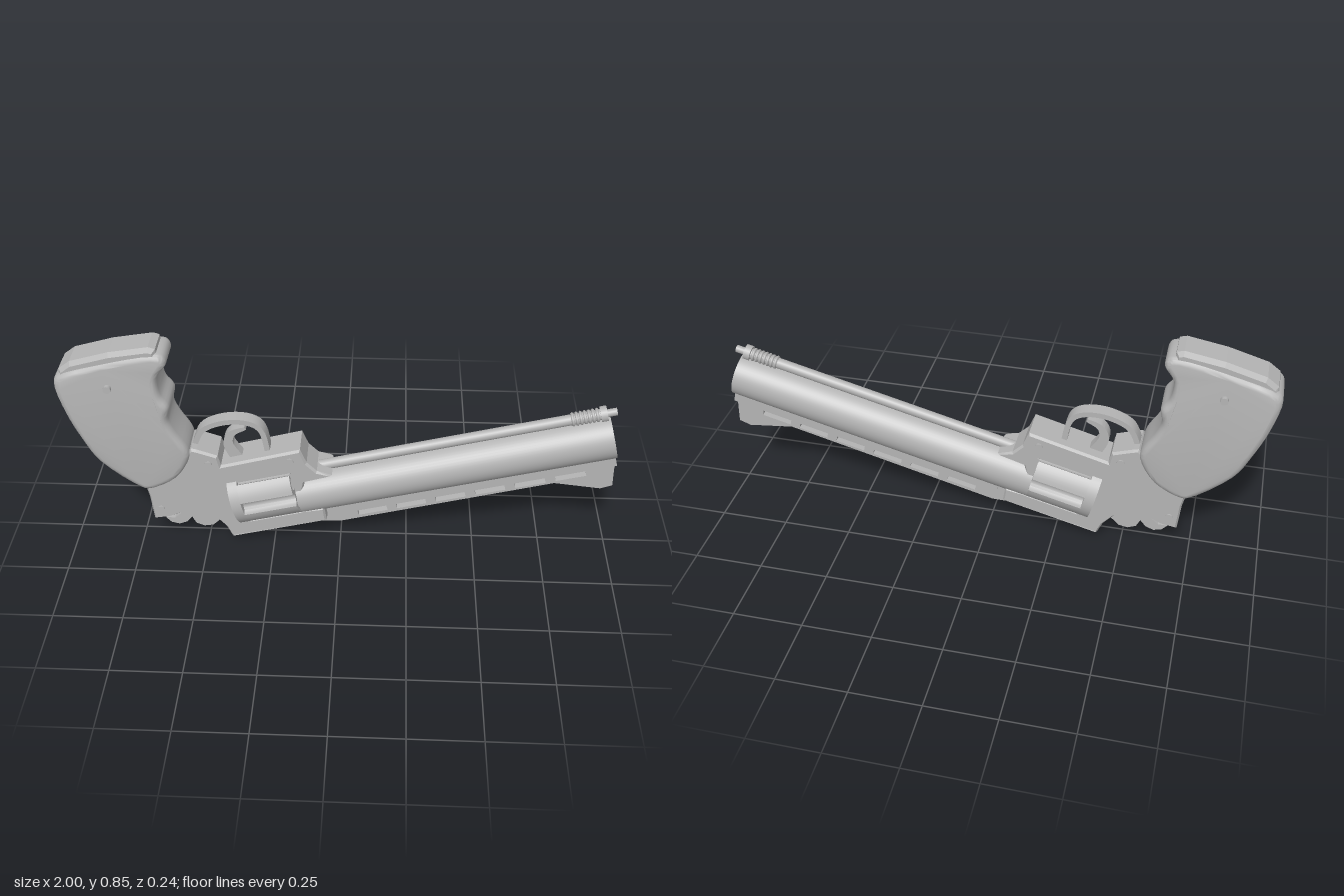
import * as THREE from 'three';
import { toCreasedNormals } from 'three/addons/utils/BufferGeometryUtils.js';

const V = (a) => a.map(([x, y]) => new THREE.Vector2(x, y));

export function createModel() {
  const steel = new THREE.MeshStandardMaterial({ color: 0xb4b4b4 });
  steel.name = 'grey steel';
  const model = new THREE.Group();
  model.name = 'revolver';

  // Everything on the bore axis lives in this group: origin at the muzzle, barrel along -x
  const bore = new THREE.Group();
  bore.name = 'barrelAssembly';
  bore.position.set(0.975, 0.495, 0);
  bore.rotation.z = 0.253;
  model.add(bore);

  const add = (parent, name, geo) => {
    const mesh = new THREE.Mesh(geo, steel);
    mesh.name = name;
    parent.add(mesh);
    return mesh;
  };
  // Plate centred on z = 0, outline kept at its widest, edges optionally chamfered
  const plate = (shape, half, bevel = 0, size = bevel, segments = 1) => {
    const geo = new THREE.ExtrudeGeometry(shape, {
      depth: 2 * (half - bevel), bevelEnabled: bevel > 0, bevelThickness: bevel,
      bevelSize: size, bevelOffset: -size, bevelSegments: segments, curveSegments: 12,
    });
    return geo.translate(0, 0, -(half - bevel));
  };
  // Cross-section (x becomes -z) swept along x from u0 to u1
  const sweep = (shape, u0, u1) => new THREE.ExtrudeGeometry(shape, { depth: u1 - u0, bevelEnabled: false, curveSegments: 24 })
    .rotateY(Math.PI / 2).translate(u0, 0, 0);
  const rod = (r, u0, u1, v, sides = 24) => new THREE.CylinderGeometry(r, r, u1 - u0, sides)
    .rotateZ(-Math.PI / 2).translate((u0 + u1) / 2, v, 0);
  // Ribbon outline of a given width (start to end) around a spline
  const ribbon = (points, w0, w1) => {
    const curve = new THREE.SplineCurve(V(points));
    const left = [], right = [];
    for (let i = 0; i <= 28; i++) {
      const t = i / 28, p = curve.getPoint(t), d = curve.getTangent(t);
      const w = (w0 + (w1 - w0) * t) / 2;
      left.push(new THREE.Vector2(p.x - d.y * w, p.y + d.x * w));
      right.unshift(new THREE.Vector2(p.x + d.y * w, p.y - d.x * w));
    }
    return new THREE.Shape([...left, ...right]);
  };
  const smooth = (geo, angle = 0.5) => toCreasedNormals(geo, angle);

  // Barrel with a grooved bore
  const ring = new THREE.Shape().absarc(0, 0, 0.0845, 0, Math.PI * 2);
  const grooves = [];
  for (let i = 0; i < 48; i++) {
    const r = i % 4 < 2 ? 0.055 : 0.063, a = ((i + (i % 2 ? -0.2 : 0.2)) / 48) * Math.PI * 2;
    grooves.push(new THREE.Vector2(r * Math.cos(a), r * Math.sin(a)));
  }
  ring.holes.push(new THREE.Path(grooves));
  add(bore, 'barrel', smooth(sweep(ring, -1.18, 0)));

  // Ejector rod with spring coils, collar and tip
  add(bore, 'ejectorRod', rod(0.02, -1.1, -0.03, 0.098));
  for (let i = 0; i < 7; i++) {
    add(bore, 'springCoil', new THREE.TorusGeometry(0.02, 0.0065, 6, 20)
      .rotateY(Math.PI / 2).translate(-0.13 + i * 0.0145, 0.098, 0));
  }
  add(bore, 'rodCollar', rod(0.029, -0.032, -0.008, 0.098));
  add(bore, 'rodTip', rod(0.014, -0.01, 0.027, 0.098));

  // Ventilated rib ending in the front sight
  const rib = new THREE.Shape(V([[-1.22, -0.07], [-1.22, -0.121], [-1.05, -0.162], [-0.237, -0.157],
    [-0.077, -0.218], [-0.032, -0.213], [-0.005, -0.09], [-0.005, -0.07]]));
  for (let i = 0; i < 6; i++) {
    const u = -0.919 + i * 0.149, h = 0.056;
    rib.holes.push(new THREE.Path(V([[u - h, -0.149], [u - h, -0.125], [u + h, -0.125], [u + h, -0.149]])));
  }
  add(bore, 'ventilatedRib', plate(rib, 0.019));
  add(bore, 'ribBase', new THREE.BoxGeometry(1.05, 0.04, 0.08).translate(-0.53, -0.091, 0));

  // Cylinder: fluted front, plain rear, chamber mouths on the front face
  const R = 0.118, cy = 0.046, flute = 0.027;
  const star = [];
  for (let k = 0; k < 6; k++) {
    const c = (k * Math.PI) / 3, gap = 0.23;
    for (let i = 0; i <= 8; i++) {
      const a = c + Math.PI + Math.PI * (0.5 - i / 8) * -1;
      const b = c + Math.PI * 1.5 - (i / 8) * Math.PI;
      star.push(new THREE.Vector2(R * Math.cos(c) + flute * Math.cos(b), R * Math.sin(c) + flute * Math.sin(b)));
    }
    for (let i = 0; i <= 6; i++) {
      const a = c + gap + (i / 6) * (Math.PI / 3 - 2 * gap);
      star.push(new THREE.Vector2(R * Math.cos(a), R * Math.sin(a)));
    }
  }
  const fluted = new THREE.Shape(star);
  for (let k = 0; k < 6; k++) {
    const a = ((k + 0.5) * Math.PI) / 3;
    fluted.holes.push(new THREE.Path().absarc(0.082 * Math.cos(a), 0.082 * Math.sin(a), 0.023, 0, Math.PI * 2));
  }
  add(bore, 'flutedCylinder', smooth(sweep(fluted, -1.365, -1.165))).position.y = cy;
  add(bore, 'cylinderRear', rod(R, -1.403, -1.365, cy, 48));
  add(bore, 'cylinderPin', rod(0.03, -1.42, -1.13, cy));

  // Frame with the cylinder window
  const frame = new THREE.Shape(V([[-0.54, 0.43], [-0.52, 0.425], [-0.445, 0.4], [-0.435, 0.357], [-0.145, 0.437],
    [-0.122, 0.38], [-0.085, 0.343], [-0.03, 0.325], [-0.13, 0.29], [-0.16, 0.155], [-0.06, 0.175],
    [-0.05, 0.113], [-0.41, 0.025], [-0.43, 0.07], [-0.47, 0.115], [-0.53, 0.14], [-0.58, 0.138],
    [-0.64, 0.11], [-0.7, 0.1], [-0.71, 0.205], [-0.72, 0.25], [-0.6, 0.36]]));
  const toWorld = ([u, v]) => {
    const p = new THREE.Vector2(u, v).rotateAround(new THREE.Vector2(), 0.253);
    return [p.x + 0.975, p.y + 0.495];
  };
  frame.holes.push(new THREE.Path(V([[-1.408, -0.05], [-1.408, 0.142], [-1.15, 0.142], [-1.15, -0.05]].map(toWorld))));
  add(model, 'frame', plate(frame, 0.069, 0.01, 0.007));
  // Ridged strap along the frame
  add(bore, 'frameStrap', sweep(new THREE.Shape(V([[-0.067, -0.108], [0, -0.131], [0.067, -0.108]])), -1.455, -1.09));

  // Grip with finger grooves, slightly narrower at the butt
  const gripLine = new THREE.CatmullRomCurve3([[-1, 0.71], [-0.985, 0.738], [-0.83, 0.79], [-0.65, 0.828], [-0.61, 0.82],
    [-0.6, 0.79], [-0.635, 0.735], [-0.63, 0.665], [-0.602, 0.62], [-0.61, 0.565], [-0.59, 0.51], [-0.55, 0.44],
    [-0.545, 0.4], [-0.6, 0.3], [-0.7, 0.245], [-0.73, 0.248], [-0.875, 0.37], [-0.93, 0.475], [-0.975, 0.59]]
    .map(([x, y]) => new THREE.Vector3(x, y, 0)), true);
  const gripShape = new THREE.Shape(gripLine.getPoints(76).slice(0, -1).map((p) => new THREE.Vector2(p.x, p.y)));
  const gripGeo = plate(gripShape, 0.091, 0.03, 0.022, 4);
  const pos = gripGeo.attributes.position;
  for (let i = 0; i < pos.count; i++) {
    const y = pos.getY(i);
    const k = 1 - 0.16 * THREE.MathUtils.smoothstep(y, 0.62, 0.84) - 0.12 * (1 - THREE.MathUtils.smoothstep(y, 0.25, 0.5));
    pos.setZ(i, pos.getZ(i) * k);
  }
  gripGeo.computeVertexNormals();
  add(model, 'grip', smooth(gripGeo, 0.6));
  // Butt cap
  add(model, 'buttCap', plate(new THREE.Shape(V([[-0.985, 0.725], [-0.98, 0.755], [-0.94, 0.785], [-0.8, 0.825],
    [-0.66, 0.849], [-0.635, 0.842], [-0.63, 0.81], [-0.8, 0.77]])), 0.069, 0.02, 0.012));

  // Trigger guard, trigger and hammer
  add(model, 'triggerGuard', smooth(plate(ribbon([[-0.535, 0.41], [-0.5, 0.485], [-0.42, 0.522], [-0.335, 0.522],
    [-0.285, 0.485], [-0.265, 0.39]], 0.02, 0.02), 0.026)));
  add(model, 'trigger', smooth(plate(ribbon([[-0.345, 0.495], [-0.395, 0.47], [-0.408, 0.42], [-0.37, 0.35]], 0.012, 0.05), 0.02)));
  const hammer = new THREE.Shape(V([[-0.665, 0.078], [-0.645, 0.056], [-0.615, 0.048], [-0.585, 0.06], [-0.565, 0.085],
    [-0.55, 0.055], [-0.52, 0.042], [-0.485, 0.048], [-0.455, 0.078], [-0.48, 0.13], [-0.58, 0.16], [-0.605, 0.1], [-0.63, 0.078]]));
  add(model, 'hammer', plate(hammer, 0.03));

  // Screws through the frame and grip
  for (const [x, y, half, r] of [[-0.48, 0.365, 0.074, 0.014], [-0.183, 0.388, 0.074, 0.014],
    [-0.67, 0.152, 0.074, 0.014], [-0.81, 0.697, 0.095, 0.014]]) {
    add(model, 'screw', new THREE.CylinderGeometry(r, r, 2 * half, 16).rotateX(Math.PI / 2).translate(x, y, 0));
  }
  return model;
}
